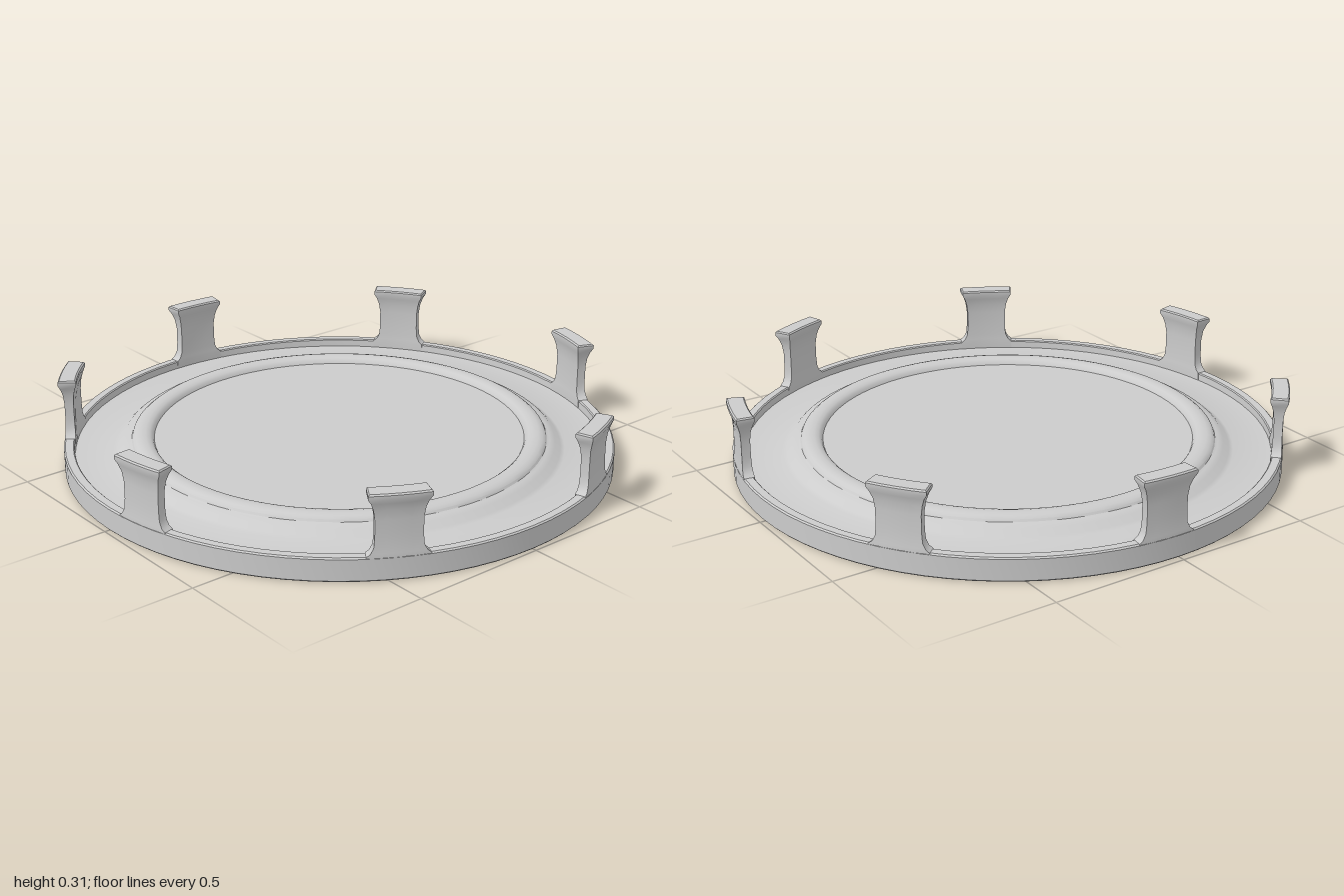
import * as THREE from 'three';
import { toCreasedNormals } from 'three/addons/utils/BufferGeometryUtils.js';

const TABS = 7;
const material = new THREE.MeshStandardMaterial({ color: 0xcccccc });

// Tab cross-sections from bottom to top: [y, half width, inner radius, outer radius]
const TAB_ROWS = [
  [0.05, 0.105, 0.945, 0.984],
  [0.085, 0.103, 0.945, 0.984],
  [0.095, 0.09, 0.946, 0.983],
  [0.115, 0.08, 0.947, 0.981],
  [0.15, 0.077, 0.948, 0.98],
  [0.21, 0.077, 0.948, 0.98],
  [0.245, 0.082, 0.945, 0.983],
  [0.27, 0.09, 0.939, 0.99],
  [0.288, 0.1, 0.933, 0.997],
  [0.3, 0.1, 0.933, 0.997],
  [0.305, 0.096, 0.938, 0.992],
];

// Flared tab: a subdivided box bent along the rim and shaped row by row
function tabGeometry() {
  const last = TAB_ROWS.length - 1;
  const geo = new THREE.BoxGeometry(2, 1, 2, 4, last, 1);
  const pos = geo.attributes.position;
  for (let i = 0; i < pos.count; i++) {
    const row = Math.round((pos.getY(i) + 0.5) * last);
    const [y, half, inner, outer] = TAB_ROWS[row];
    const r = pos.getZ(i) > 0 ? outer : inner;
    const a = (pos.getX(i) * half) / 0.965;
    pos.setXYZ(i, r * Math.sin(a), y, r * Math.cos(a));
  }
  return toCreasedNormals(geo, 0.6);
}

export function createModel() {
  const group = new THREE.Group();

  // Dish: flat underside, low rim, floor, raised ring and centre plate
  const profile = [
    [0, 0], [0.98, 0], [0.985, 0.005],
    [0.985, 0.08], [0.98, 0.085],
    [0.952, 0.085], [0.948, 0.081], [0.946, 0.056],
    [0.81, 0.056], [0.795, 0.062], [0.775, 0.08], [0.755, 0.088],
    [0.745, 0.09], [0.741, 0.098], [0.73, 0.106], [0.715, 0.11],
    [0.695, 0.11], [0.68, 0.106], [0.67, 0.098], [0.665, 0.088], [0, 0.088],
  ].map(([r, y]) => new THREE.Vector2(r, y));
  const dish = new THREE.Mesh(
    toCreasedNormals(new THREE.LatheGeometry(profile, 80), 0.6), material);
  dish.name = 'dish';
  group.add(dish);

  // Upright tabs evenly spaced around the rim
  const geo = tabGeometry();
  for (let i = 0; i < TABS; i++) {
    const tab = new THREE.Mesh(geo, material);
    tab.name = `rimTab${i + 1}`;
    tab.rotation.y = Math.PI - (0.052 + (i * 2 * Math.PI) / TABS);
    group.add(tab);
  }

  group.position.z = 0.005;
  return group;
}
